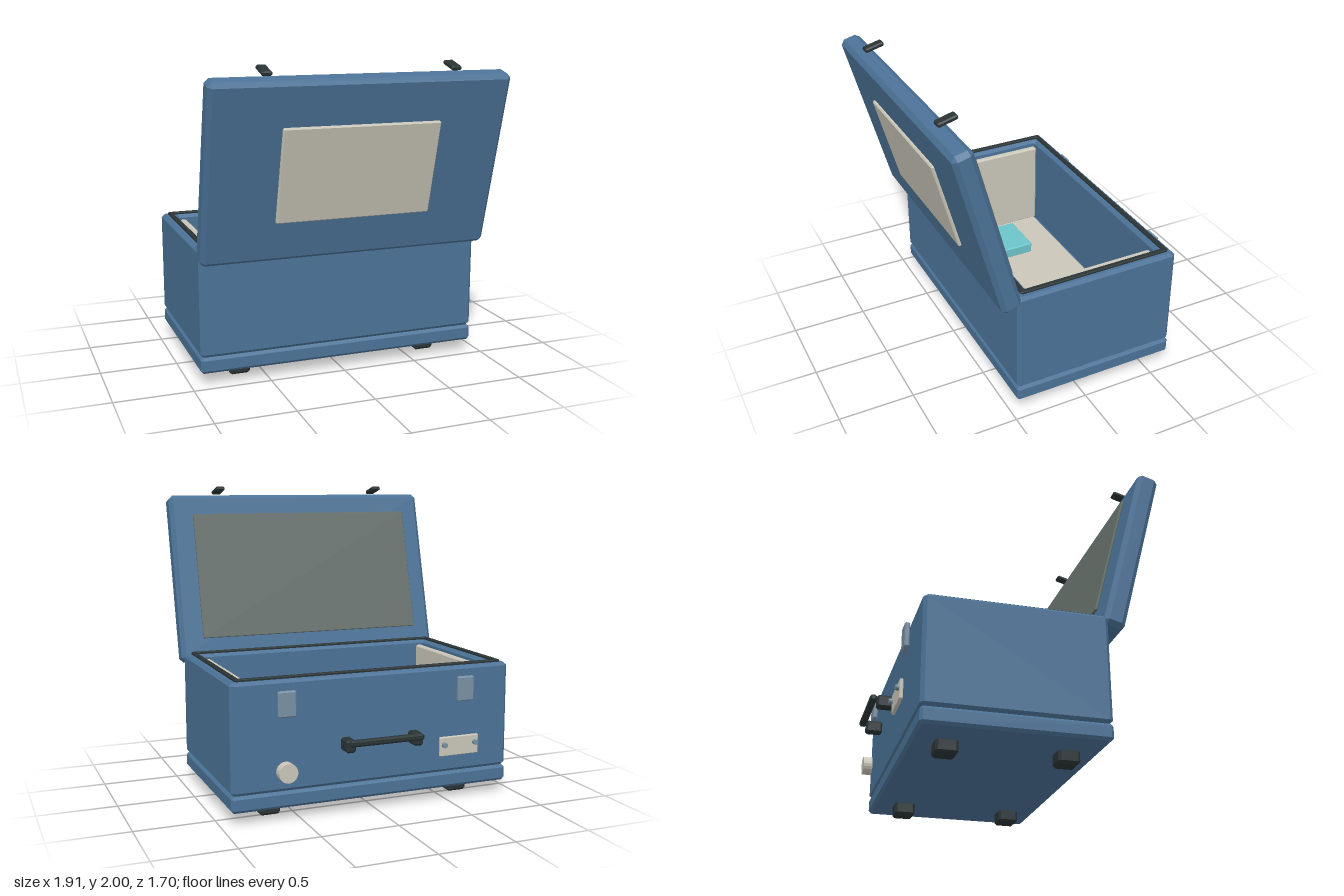
import * as THREE from 'three';
import { ConvexGeometry } from 'three/addons/geometries/ConvexGeometry.js';

const material = (color) => new THREE.MeshStandardMaterial({ color, flatShading: true });

// Box with flat chamfers on every edge
function chamferBox(w, h, d, c) {
  const pts = [];
  for (const sx of [-1, 1]) for (const sy of [-1, 1]) for (const sz of [-1, 1]) {
    for (let keep = 0; keep < 3; keep++) {
      const half = [w, h, d].map((s, i) => s / 2 - (i === keep ? 0 : c));
      pts.push(new THREE.Vector3(sx * half[0], sy * half[1], sz * half[2]));
    }
  }
  return new ConvexGeometry(pts);
}

// Rectangle outline with cut corners
function cutRect(Type, w, d, c) {
  const x = w / 2, y = d / 2;
  return new Type([
    [x - c, -y], [x, c - y], [x, y - c], [x - c, y],
    [c - x, y], [-x, y - c], [-x, c - y], [c - x, -y],
  ].map(([a, b]) => new THREE.Vector2(a, b)));
}

// Upright rectangular ring with chamfered rims, base at y = 0
function ring(w, d, innerW, innerD, h, corner, bevel) {
  const shape = cutRect(THREE.Shape, w, d, corner);
  shape.holes.push(cutRect(THREE.Path, innerW, innerD, corner / 2));
  const geo = new THREE.ExtrudeGeometry(shape, {
    depth: h - 2 * bevel, bevelEnabled: true, bevelSegments: 1,
    bevelSize: bevel, bevelThickness: bevel, bevelOffset: -bevel,
  });
  return geo.translate(0, 0, bevel).rotateX(-Math.PI / 2);
}

export function createModel() {
  const model = new THREE.Group();
  model.name = 'openCase';
  const blue = material(0x4b7297), dark = material(0x2a3335), pale = material(0xcac6b9);
  const slate = material(0x66706b), steel = material(0x7890a3), teal = material(0x6cc4ca);

  const add = (parent, name, geo, mat, x, y, z) => {
    const mesh = new THREE.Mesh(geo, mat);
    mesh.name = name;
    mesh.position.set(x, y, z);
    parent.add(mesh);
    return mesh;
  };
  const box = (parent, name, mat, size, pos, c = 0.008) =>
    add(parent, name, chamferBox(...size, c), mat, ...pos);

  // Case body: base tray, hollow walls and the seal on the rim
  const cz = -0.105;
  box(model, 'baseTray', blue, [1.88, 0.105, 1.125], [0, 0.1325, cz], 0.018);
  add(model, 'bodyWalls', ring(1.88, 1.125, 1.68, 0.93, 0.69, 0.022, 0.02), blue, 0, 0.185, cz);
  add(model, 'rimSeal', ring(1.8, 1.05, 1.735, 0.985, 0.025, 0.012, 0.005), dark, 0, 0.865, cz - 0.003);

  // Interior: floor, side liners and two pads
  box(model, 'floorLiner', pale, [1.66, 0.05, 0.89], [0, 0.205, cz], 0.01);
  for (const s of [-1, 1]) {
    box(model, 'sideLiner', pale, [0.045, 0.62, 0.91], [s * 0.803, 0.535, cz], 0.01);
    box(model, 'floorPad', teal, [0.325, 0.08, 0.38], [s * 0.508, 0.265, -0.11]);
  }

  // Feet
  for (const x of [-0.655, 0.655]) for (const z of [-0.465, 0.26])
    box(model, 'foot', dark, [0.135, 0.09, 0.135], [x, 0.045, z], 0.015);

  // Lid leaning open: local y runs up the lid, local z points outward
  const lid = new THREE.Group();
  lid.name = 'lid';
  lid.position.set(0, 1.37, 0.64);
  lid.rotation.x = THREE.MathUtils.degToRad(15);
  model.add(lid);
  box(lid, 'lidShell', blue, [1.91, 1.165, 0.135], [0, 0, 0], 0.028);
  box(lid, 'outerPanel', pale, [1.01, 0.615, 0.03], [0, -0.003, 0.071]);
  box(lid, 'innerPanel', slate, [1.61, 0.87, 0.016], [0, 0, -0.097], 0.004);
  for (const s of [-1, 1])
    box(lid, 'latch', dark, [0.065, 0.028, 0.13], [s * 0.6, 0.609, -0.065]);

  // Latch catches on the back wall
  for (const s of [-1, 1])
    box(model, 'latchCatch', steel, [0.115, 0.16, 0.032], [s * 0.603, 0.735, -0.707]);

  // Carrying handle
  const handle = new THREE.Group();
  handle.name = 'handle';
  model.add(handle);
  for (const s of [-1, 1])
    box(handle, 'handleMount', dark, [0.065, 0.08, 0.105], [s * 0.227, 0.46, -0.757], 0.012);
  box(handle, 'handleGrip', dark, [0.49, 0.04, 0.042], [0, 0.485, -0.829], 0.01);

  // Round valve knob
  const knob = new THREE.CylinderGeometry(0.06, 0.06, 0.06, 20).rotateX(Math.PI / 2);
  add(model, 'valveKnob', knob, pale, 0.615, 0.325, -0.737);

  // Blank plate with two screws
  box(model, 'plate', pale, [0.275, 0.125, 0.022], [-0.547, 0.375, -0.732], 0.005);
  for (const x of [-0.657, -0.437]) {
    const screw = new THREE.CylinderGeometry(0.017, 0.017, 0.03, 12).rotateX(Math.PI / 2);
    add(model, 'plateScrew', screw, steel, x, 0.388, -0.75);
  }
  return model;
}
